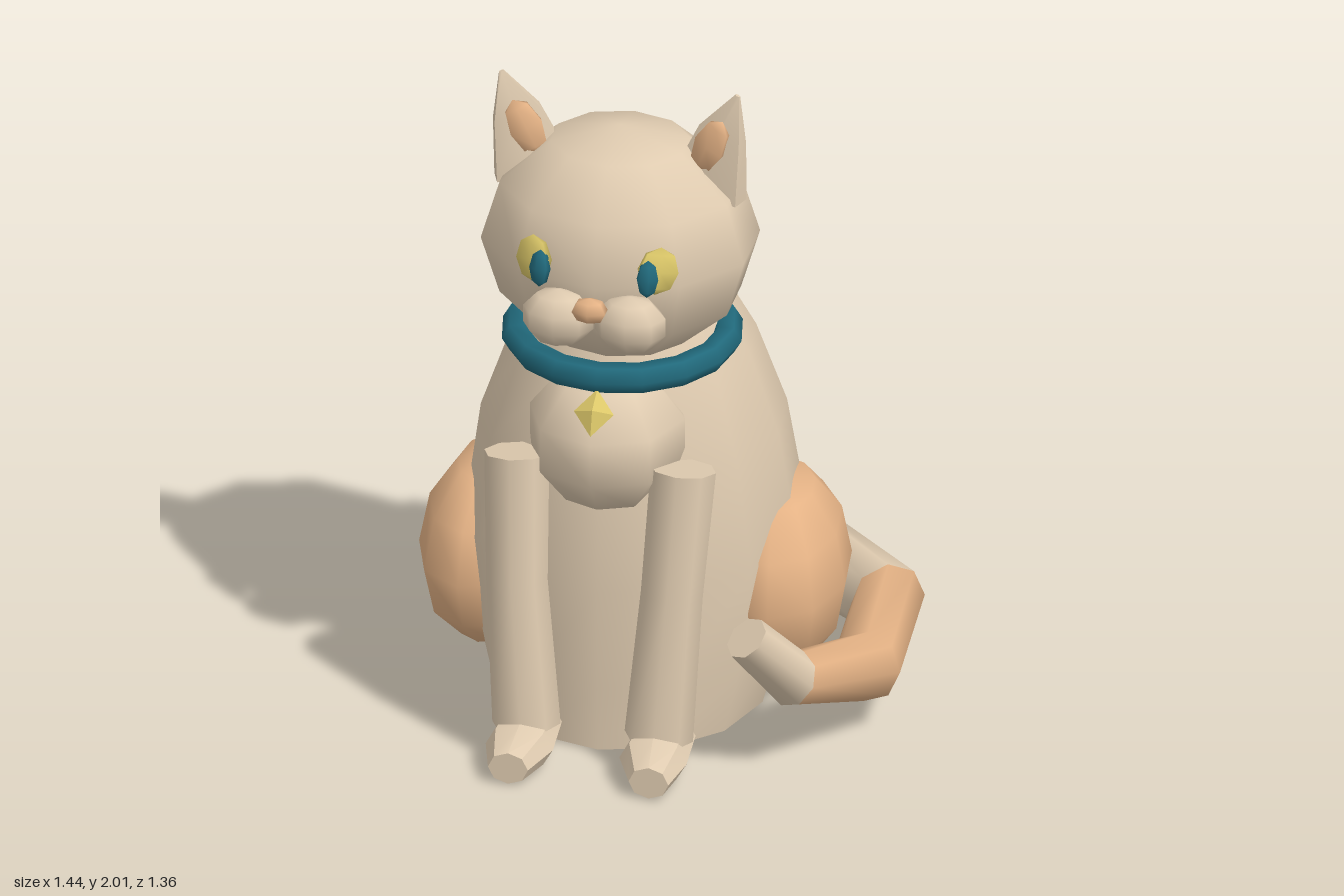
import * as THREE from 'three';
import { toCreasedNormals } from 'three/addons/utils/BufferGeometryUtils.js';

const material = (name, color) => {
  const m = new THREE.MeshStandardMaterial({ color });
  m.name = name;
  return m;
};

// Capped skin over elliptical rings [x, y, z, radiusA, radiusB].
// ref sets the ring orientation; axis (optional) keeps all rings parallel.
function loft(sections, sides, ref, axis, slots) {
  const centres = sections.map(s => new THREE.Vector3(s[0], s[1], s[2]));
  const pos = [], index = [], last = sections.length - 1;
  const geo = new THREE.BufferGeometry();
  const rings = sections.map((s, k) => {
    const t = axis ? axis.clone() : new THREE.Vector3();
    if (!axis) {
      if (k > 0) t.add(centres[k].clone().sub(centres[k - 1]).normalize());
      if (k < last) t.add(centres[k + 1].clone().sub(centres[k]).normalize());
    }
    t.normalize();
    const side = t.clone().cross(ref).normalize();
    const other = side.clone().cross(t);
    return Array.from({ length: sides }, (_, i) => {
      const a = i / sides * Math.PI * 2;
      return centres[k].clone().addScaledVector(side, s[3] * Math.sin(a)).addScaledVector(other, s[4] * Math.cos(a));
    });
  });
  const group = (from, slot) => { if (slots) geo.addGroup(from, index.length - from, slot); };
  const cap = (k, flip, slot) => {
    const from = index.length, base = pos.length / 3;
    [centres[k], ...rings[k]].forEach(p => pos.push(p.x, p.y, p.z));
    for (let i = 0; i < sides; i++) {
      const a = base + 1 + i, b = base + 1 + (i + 1) % sides;
      index.push(base, flip ? b : a, flip ? a : b);
    }
    group(from, slot);
  };
  rings.flat().forEach(p => pos.push(p.x, p.y, p.z));
  for (let k = 0; k < last; k++) {
    const from = index.length;
    for (let i = 0; i < sides; i++) {
      const j = (i + 1) % sides, a = k * sides, b = a + sides;
      index.push(a + i, a + j, b + j, a + i, b + j, b + i);
    }
    group(from, slots && slots[k]);
  }
  cap(0, true, slots && slots[0]);
  cap(last, false, slots && slots[last - 1]);
  geo.setAttribute('position', new THREE.Float32BufferAttribute(pos, 3));
  geo.setIndex(index);
  geo.computeVertexNormals();
  return geo;
}

// Low-poly ellipsoid with a corner facing the front
const ellipsoid = (rx, ry, rz, w = 10, h = 6) =>
  new THREE.SphereGeometry(1, w, h).rotateY(Math.PI / 2).scale(rx, ry, rz);

export function createModel() {
  const fur = material('beige fur', 0xdfcbb0);
  const patch = material('orange fur', 0xe4b285);
  const teal = material('teal', 0x21697b);
  const gold = material('yellow', 0xdac668);
  const Y = new THREE.Vector3(0, 1, 0), Z = new THREE.Vector3(0, 0, 1);

  const model = new THREE.Group();
  model.name = 'sittingCat';
  const cat = new THREE.Group();
  cat.name = 'cat';
  cat.position.x = -0.1;
  model.add(cat);

  const add = (name, geo, mat, x = 0, y = 0, z = 0, parent = cat) => {
    const mesh = new THREE.Mesh(geo, mat);
    mesh.name = name;
    mesh.position.set(x, y, z);
    parent.add(mesh);
    return mesh;
  };

  // Torso, chest and head
  add('body', loft([
    [0, 0, -0.015, 0.397, 0.44],
    [0, 0.2, -0.045, 0.45, 0.477],
    [0, 0.51, -0.073, 0.488, 0.508],
    [0, 0.85, -0.048, 0.438, 0.458],
    [0, 1.1, -0.045, 0.35, 0.37],
    [0, 1.26, -0.035, 0.27, 0.272],
  ], 13, Z, Y), fur);
  add('chest', ellipsoid(0.238, 0.222, 0.235, 8, 5), fur, 0, 0.958, 0.298);
  add('head', ellipsoid(0.403, 0.352, 0.35), fur, 0, 1.51, 0.13);
  add('nose', ellipsoid(0.056, 0.04, 0.037, 6, 4), patch, 0, 1.468, 0.53);

  // Collar and pendant
  add('collar', new THREE.TorusGeometry(0.304, 0.044, 6, 16).rotateX(Math.PI / 2), teal, 0, 1.191, 0.105);
  const pendant = new THREE.OctahedronGeometry(1).scale(0.058, 0.07, 0.03);
  add('pendant', pendant, gold, 0, 1.11, 0.475).rotation.x = -0.7;

  // Paired parts, s = +1 for the left side
  for (const s of [1, -1]) {
    const side = s > 0 ? 'left' : 'right';

    add(side + 'Haunch', ellipsoid(0.212, 0.3, 0.338), patch,
      s * 0.408, 0.372, -0.1).rotation.y = s * 0.13;
    add(side + 'FrontLeg', loft([
      [s * 0.193, 0.1, 0.49, 0.1, 0.082],
      [s * 0.226, 0.55, 0.468, 0.09, 0.077],
      [s * 0.243, 0.917, 0.393, 0.095, 0.1],
    ], 8, Z), fur);
    add(side + 'Paw', toCreasedNormals(loft([
      [s * 0.195, 0.064, 0.4, 0.085, 0.069],
      [s * 0.195, 0.064, 0.575, 0.098, 0.07],
      [s * 0.205, 0.046, 0.678, 0.058, 0.049],
    ], 8, Y, Z), 0.6), fur);

    // Ear turned inward, with coloured inside
    const ear = new THREE.Group();
    ear.name = side + 'EarGroup';
    ear.position.set(s * 0.258, 1.69, 0.122);
    ear.rotation.y = -s * 0.35;
    cat.add(ear);
    add(side + 'Ear', toCreasedNormals(loft([
      [0, 0, 0, 0.126, 0.06],
      [s * 0.045, 0.18, 0, 0.08, 0.04],
      [s * 0.088, 0.31, -0.012, 0.008, 0.006],
    ], 6, Z), 0.9), fur, 0, 0, 0, ear);
    add(side + 'InnerEar', ellipsoid(0.056, 0.092, 0.022, 6, 4), patch,
      s * 0.024, 0.15, 0.034, ear).rotation.set(-0.1, 0, -s * 0.42);

    // Face
    add(side + 'Eye', ellipsoid(0.067, 0.07, 0.022, 6, 4), gold,
      s * 0.181, 1.573, 0.446).rotation.set(-0.22, s * 0.5, -s * 0.1);
    add(side + 'Pupil', ellipsoid(0.034, 0.055, 0.022, 6, 4), teal,
      s * 0.157, 1.56, 0.477).rotation.set(-0.2, s * 0.38, 0);
    add(side + 'Muzzle', ellipsoid(0.108, 0.088, 0.078, 8, 5), fur, s * 0.105, 1.405, 0.467);
  }

  // Tail curling round the left side, with an orange middle
  add('tail', loft([
    [-0.11, 0.16, -0.475, 0.105, 0.1],
    [0.29, 0.185, -0.565, 0.118, 0.135],
    [0.575, 0.168, -0.338, 0.109, 0.113],
    [0.612, 0.188, 0.11, 0.104, 0.104],
    [0.47, 0.298, 0.43, 0.083, 0.083],
    [0.36, 0.472, 0.54, 0.067, 0.067],
  ], 8, Y, null, [0, 0, 1, 1, 0]), [fur, patch], 0, 0, 0, model);

  return model;
}
